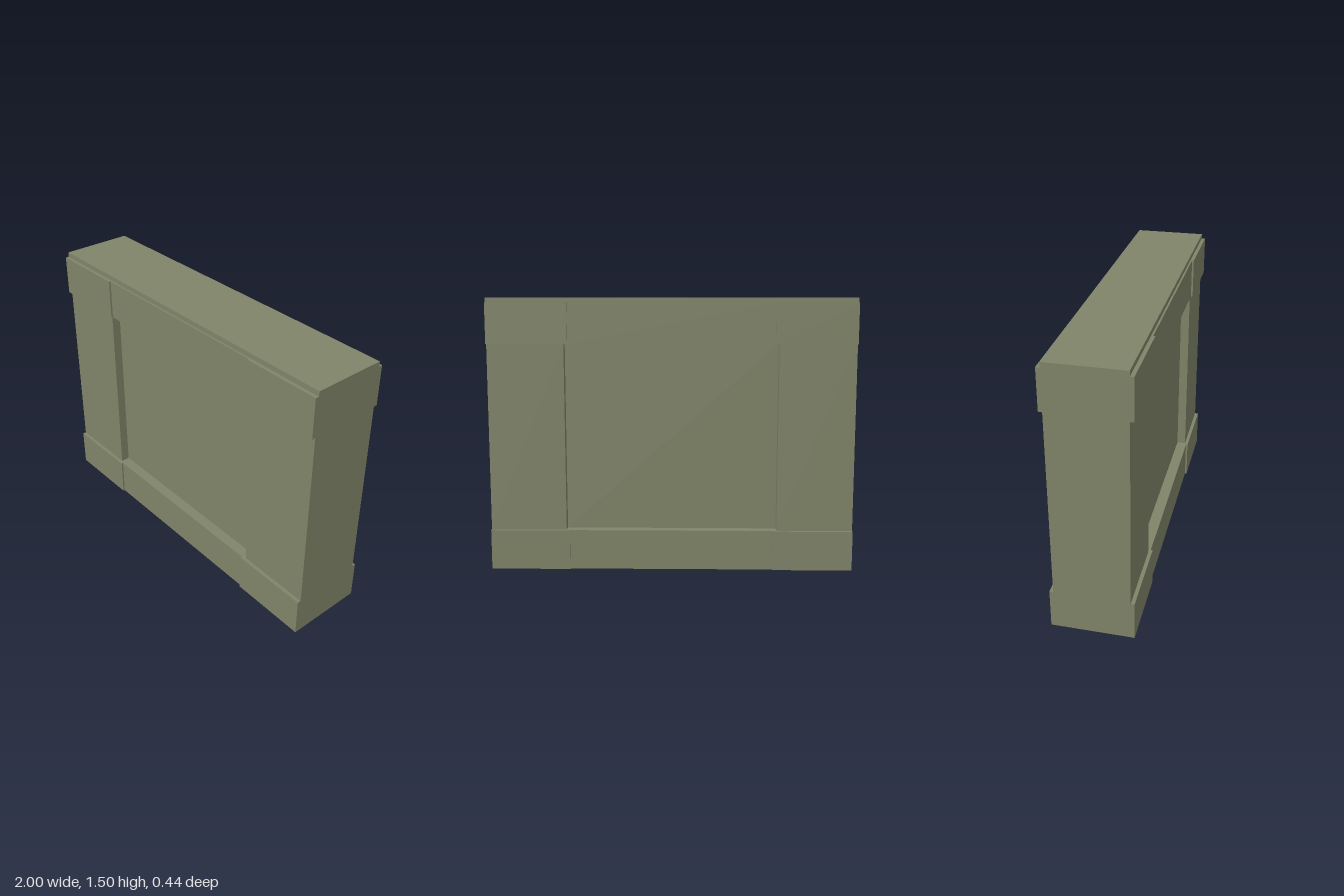
import * as THREE from 'three';

export function createModel() {
  const group = new THREE.Group();
  group.name = 'panelledWall';
  const stone = new THREE.MeshStandardMaterial({ color: 0x808468 });
  stone.name = 'olive stone';

  // Box spanning y0..y1, centred on x and z = 0
  const block = (name, x, y0, y1, width, depth) => {
    const mesh = new THREE.Mesh(new THREE.BoxGeometry(width, y1 - y0, depth), stone);
    mesh.name = name;
    mesh.position.set(x, (y0 + y1) / 2, 0);
    group.add(mesh);
  };

  const baseTop = 0.22, headBottom = 1.25, headTop = 1.47, top = 1.497;

  // Recessed middle panel and top slab
  block('recessedPanel', 0, baseTop, headBottom, 1.164, 0.3);
  block('topSlab', 0, headTop, top, 2, 0.4);

  // Side pillars
  for (const [side, s] of [['left', 1], ['right', -1]]) {
    block(side + 'Pillar', s * 0.791, baseTop, headBottom, 0.418, 0.4);
  }

  // Bottom and top bands: a rail between two thicker corner blocks
  for (const [band, y0, y1] of [['bottom', 0, baseTop], ['top', headBottom, headTop]]) {
    block(band + 'Rail', 0, y0, y1, 1.12, 0.42);
    for (const [side, s] of [['Left', 1], ['Right', -1]]) {
      block(band + side + 'CornerBlock', s * 0.78, y0, y1, 0.44, 0.44);
    }
  }
  return group;
}
